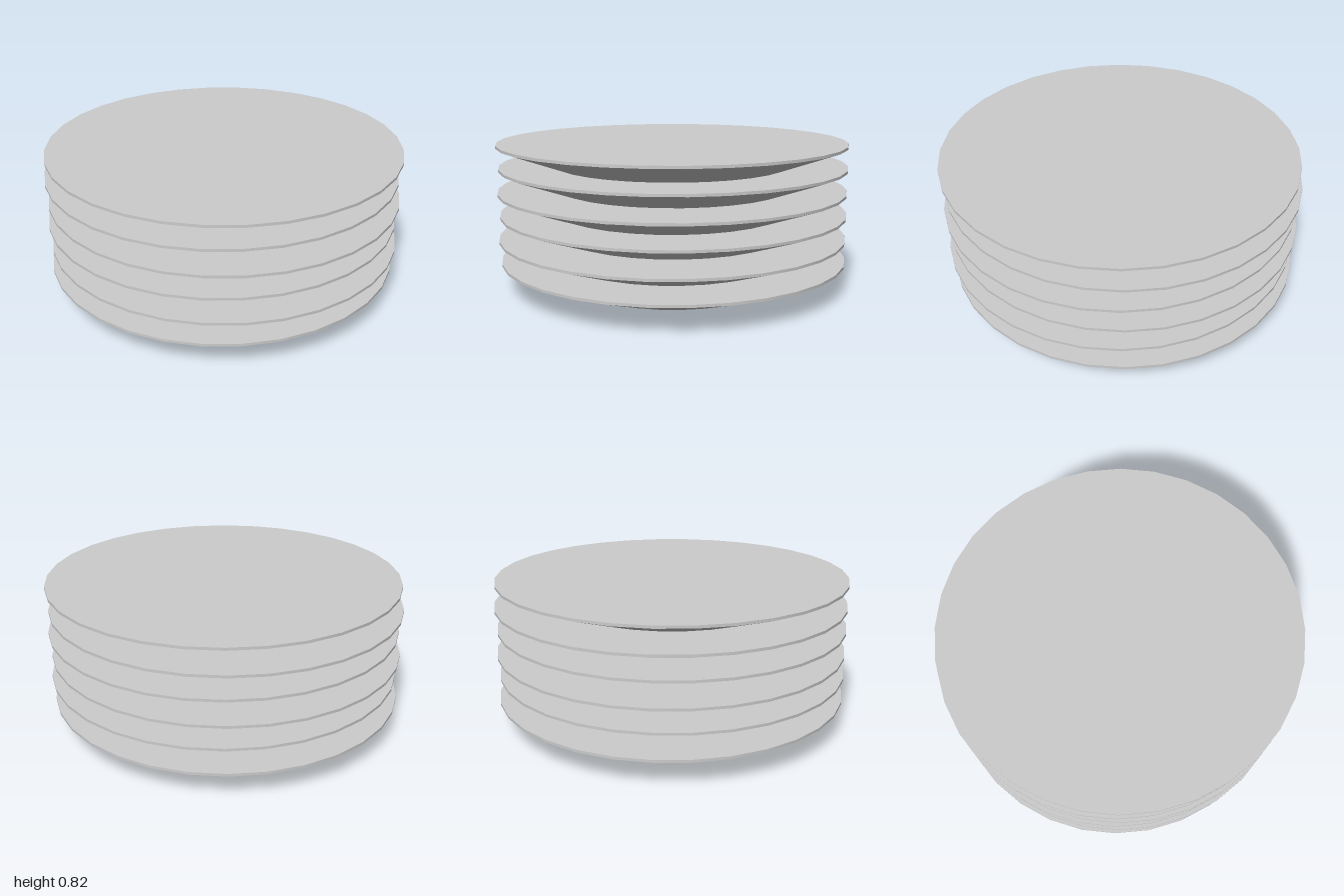
import * as THREE from 'three';

const SIDES = 32, RADIUS = 0.99, FOOT = 0.58;
const RIM_LOW = 0.147, RIM_TOP = 0.162, SPACING = 0.1326, SHIFT = 0.01;

export function createModel() {
  const model = new THREE.Group();
  model.name = 'plateStack';
  const ceramic = new THREE.MeshStandardMaterial({ color: 0xcccccc });
  ceramic.name = 'light grey ceramic';

  // Underside: flat foot flowing smoothly into the sloped wall
  const underside = new THREE.LatheGeometry([
    new THREE.Vector2(0, 0),
    new THREE.Vector2(FOOT, 0),
    new THREE.Vector2(RADIUS, RIM_LOW),
  ], SIDES);

  // Thin upright rim
  const rim = new THREE.CylinderGeometry(RADIUS, RADIUS, RIM_TOP - RIM_LOW, SIDES, 1, true);
  rim.translate(0, (RIM_TOP + RIM_LOW) / 2, 0);

  // Flat upper face
  const face = new THREE.CircleGeometry(RADIUS, SIDES);
  face.rotateX(-Math.PI / 2);
  face.translate(0, RIM_TOP, 0);

  // Six plates, shifted alternately to either side
  for (let i = 0; i < 6; i++) {
    const plate = new THREE.Group();
    plate.name = `plate${i + 1}`;
    for (const [name, geometry] of Object.entries({ underside, rim, face })) {
      const mesh = new THREE.Mesh(geometry, ceramic);
      mesh.name = name;
      plate.add(mesh);
    }
    plate.position.set(i % 2 ? SHIFT : -SHIFT, i * SPACING, 0);
    model.add(plate);
  }
  return model;
}
